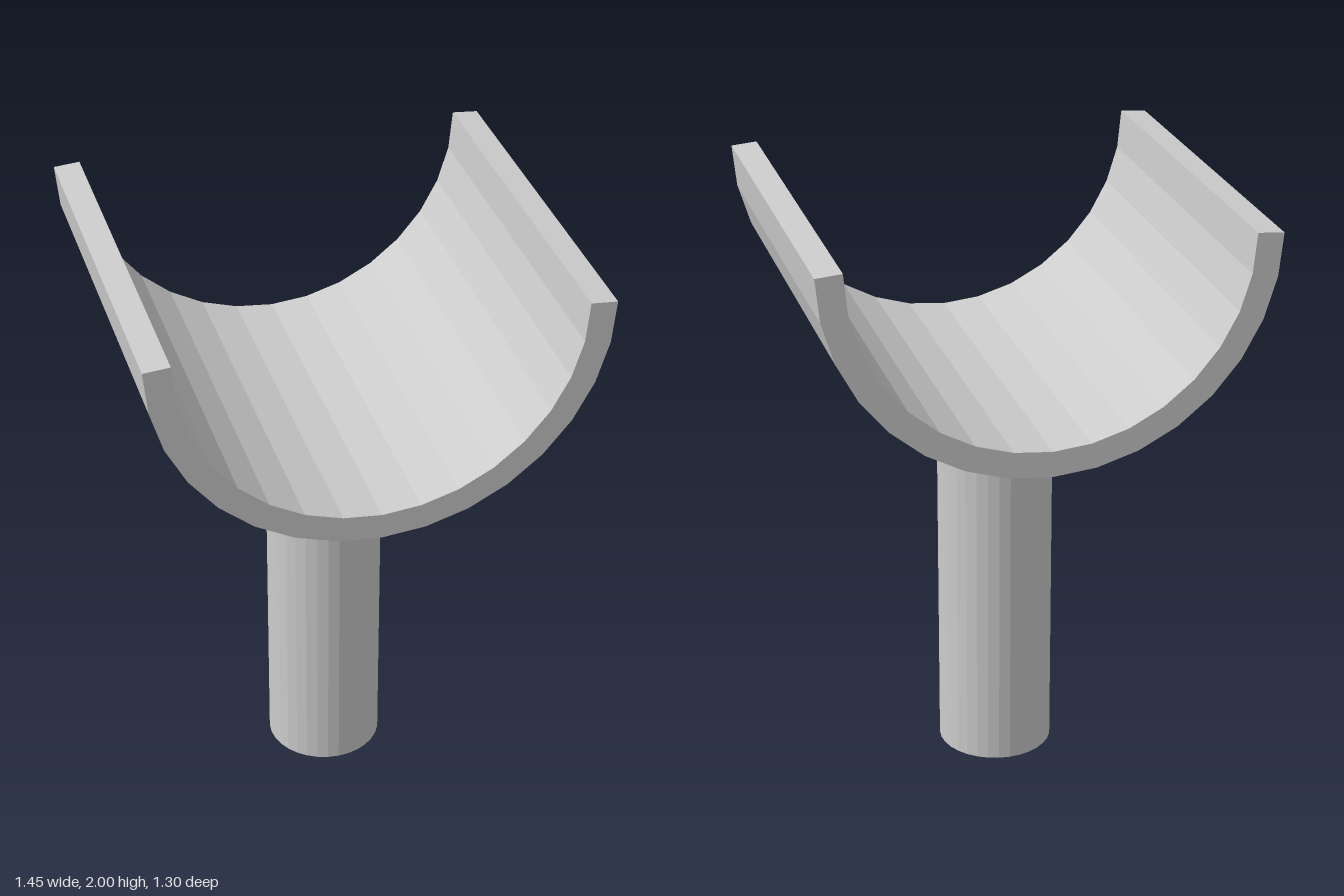
import * as THREE from 'three';

const SEGMENTS = 16; // facets of the half-round trough
const CENTRE_Y = 1.995;
const LENGTH = 1.3;

// Points of a lower half circle, from +x round the bottom to -x
function halfArc(radius, rimY) {
  const points = [];
  for (let i = 0; i <= SEGMENTS; i++) {
    const a = (i / SEGMENTS) * Math.PI;
    const isRim = i === 0 || i === SEGMENTS;
    points.push(new THREE.Vector2(
      radius * Math.cos(a),
      isRim ? rimY : CENTRE_Y - radius * Math.sin(a)
    ));
  }
  return points;
}

export function createModel() {
  const group = new THREE.Group();
  group.name = 'cradleStand';
  const material = new THREE.MeshStandardMaterial({ color: 0xcccccc, flatShading: true });

  // Half-pipe cradle: thick arc extruded along z, rims slightly higher inside
  const outline = [...halfArc(0.725, 1.993), ...halfArc(0.64, 2).reverse()];
  const cradleGeometry = new THREE.ExtrudeGeometry(new THREE.Shape(outline), {
    depth: LENGTH,
    bevelEnabled: false,
  });
  cradleGeometry.translate(0, 0, -LENGTH / 2);
  const cradle = new THREE.Mesh(cradleGeometry, material);
  cradle.name = 'cradle';
  group.add(cradle);

  // Round post, ending inside the cradle wall
  const postHeight = 1.31;
  const post = new THREE.Mesh(new THREE.CylinderGeometry(0.192, 0.192, postHeight, 32), material);
  post.position.y = postHeight / 2;
  post.name = 'post';
  group.add(post);

  return group;
}
